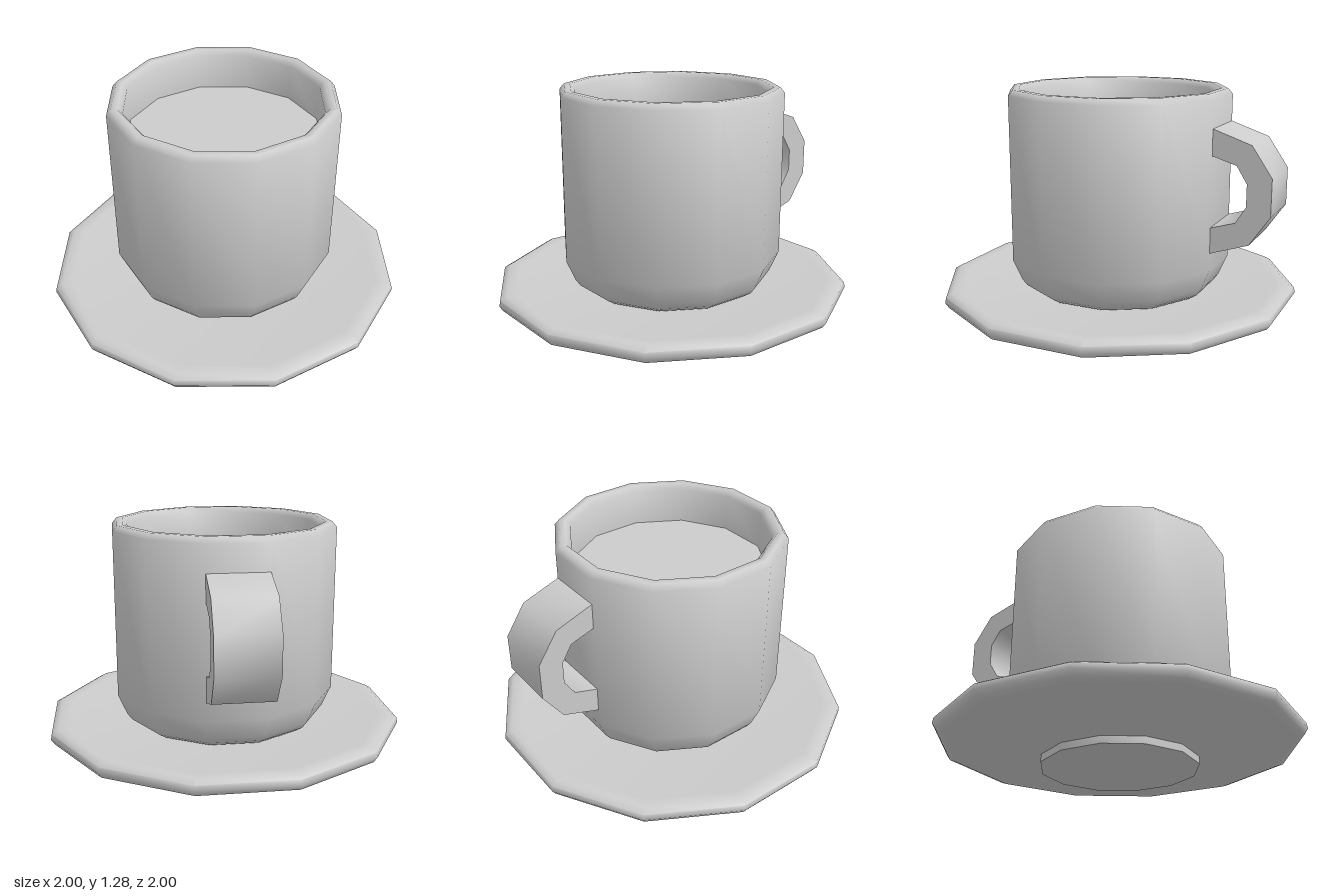
import * as THREE from 'three';
import { toCreasedNormals } from 'three/addons/utils/BufferGeometryUtils.js';

const SIDES = 12;
const CREASE = 0.9; // radians: gentle bends stay smooth, corners stay sharp
const material = new THREE.MeshStandardMaterial({ color: 0xcccccc });
const points = (list) => list.map(([x, y]) => new THREE.Vector2(x, y));

function addMesh(parent, name, geometry) {
  const mesh = new THREE.Mesh(toCreasedNormals(geometry, CREASE), material);
  mesh.name = name;
  parent.add(mesh);
  return mesh;
}

const lathe = (profile) => new THREE.LatheGeometry(points(profile), SIDES);

export function createModel() {
  const model = new THREE.Group();
  model.name = 'cupAndSaucer';

  // Saucer: foot ring, sloping underside, rounded rim, shallow dish
  addMesh(model, 'saucer', lathe([
    [0, 0], [0.43, 0], [0.43, 0.04],
    [0.94, 0.105], [0.98, 0.12], [1, 0.15], [0.995, 0.18], [0.96, 0.2],
    [0.9, 0.195], [0.5, 0.16], [0, 0.16],
  ]));

  const cup = new THREE.Group();
  cup.name = 'cup';
  model.add(cup);

  // Cup wall: tapered base, straight side, bevelled lip and inner wall
  addMesh(cup, 'cupBody', lathe([
    [0, 0.17], [0.5, 0.17], [0.545, 0.2], [0.57, 0.235], [0.62, 0.35],
    [0.62, 1.255], [0.595, 1.285], [0.56, 1.285], [0.535, 1.255], [0.53, 1.05],
  ]));

  // Drink surface
  const drink = addMesh(cup, 'drink', new THREE.CircleGeometry(0.531, SIDES));
  drink.rotation.x = -Math.PI / 2;
  drink.position.y = 1.06;

  // Handle: faceted C outline, as wide as one wall facet
  const width = 0.32;
  const outline = new THREE.Shape(points([
    [0.55, 0.45], [0.6, 0.45], [0.806, 0.52], [0.915, 0.68],
    [0.915, 0.88], [0.806, 1.04], [0.6, 1.11], [0.55, 1.11],
    [0.55, 0.97], [0.6, 0.97], [0.73, 0.93], [0.786, 0.84],
    [0.786, 0.72], [0.73, 0.63], [0.6, 0.59], [0.55, 0.59],
  ]));
  const handleGeometry = new THREE.ExtrudeGeometry(outline, { depth: width, bevelEnabled: false });
  handleGeometry.translate(0, 0, -width / 2);
  const handle = addMesh(cup, 'handle', handleGeometry);
  // Point it at the middle of the back facet on the model's right
  handle.rotation.y = Math.PI / 2 + Math.PI / SIDES;

  return model;
}
